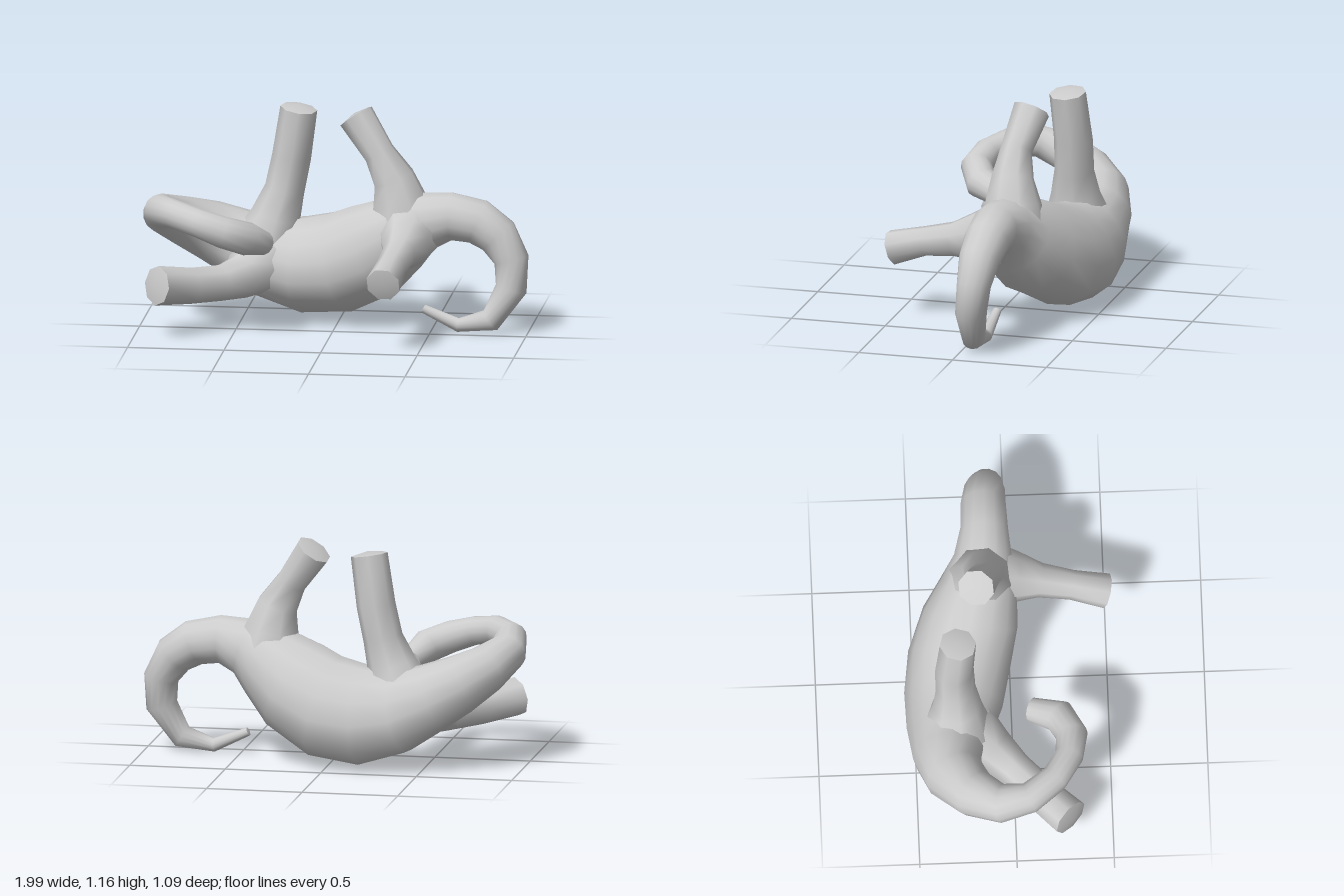
import * as THREE from 'three';

const material = new THREE.MeshStandardMaterial({ color: 0xcccccc });
// Direction of the spine ridge: down and towards the back.
const RIDGE = new THREE.Vector3(0, -0.66, -0.75);

// Skins a path of [x, y, z, radius, ridge] stations; rings follow the path, ends are capped.
// The ridge value sharpens the spine and flattens the belly opposite it.
function limb(name, stations, sides) {
  const centres = stations.map(s => new THREE.Vector3(s[0], s[1], s[2]));
  const last = stations.length - 1;
  const positions = [], index = [];
  const tangentAt = i => {
    const t = new THREE.Vector3();
    if (i > 0) t.add(centres[i].clone().sub(centres[i - 1]).normalize());
    if (i < last) t.add(centres[i + 1].clone().sub(centres[i]).normalize());
    return t.normalize();
  };
  let u = new THREE.Vector3(0.3, 0.66, 0.75);
  stations.forEach(([, , , radius, ridge = 0], i) => {
    const t = tangentAt(i);
    u = u.clone().addScaledVector(t, -u.dot(t)).normalize();
    const v = new THREE.Vector3().crossVectors(t, u);
    for (let k = 0; k < sides; k++) {
      const a = (k / sides) * Math.PI * 2;
      const d = u.clone().multiplyScalar(Math.cos(a)).addScaledVector(v, Math.sin(a));
      const toSpine = d.dot(RIDGE);
      const r = radius * (1.03 + ridge * (toSpine > 0 ? 1 : 0.5) * toSpine ** 3);
      positions.push(...centres[i].clone().addScaledVector(d, r).toArray());
    }
  });
  for (let i = 0; i < last; i++) {
    for (let k = 0; k < sides; k++) {
      const a = i * sides + k, b = i * sides + (k + 1) % sides;
      index.push(a, b, b + sides, a, b + sides, a + sides);
    }
  }
  // Caps have their own corners, so the rim stays sharp.
  for (const end of [0, last]) {
    const start = positions.length / 3;
    positions.push(...positions.slice(end * sides * 3, (end + 1) * sides * 3));
    const bulge = stations[end][3] * (end ? 0.2 : -0.2);
    positions.push(...centres[end].clone().addScaledVector(tangentAt(end), bulge).toArray());
    for (let k = 0; k < sides; k++) {
      const a = start + k, b = start + (k + 1) % sides;
      if (end) index.push(a, b, start + sides);
      else index.push(b, a, start + sides);
    }
  }
  const geometry = new THREE.BufferGeometry();
  geometry.setAttribute('position', new THREE.Float32BufferAttribute(positions, 3));
  geometry.setIndex(index);
  geometry.computeVertexNormals();
  const mesh = new THREE.Mesh(geometry, material);
  mesh.name = name;
  return mesh;
}

export function createModel() {
  const model = new THREE.Group();
  model.name = 'recliningCreature';

  // Tail, trunk of the body and curled neck form one continuous skin.
  model.add(limb('tailBodyAndNeck', [
    [0.46, 0.115, -0.085, 0.022],
    [0.64, 0.036, -0.075, 0.035],
    [0.81, 0.07, -0.06, 0.06],
    [0.915, 0.235, -0.075, 0.08],
    [0.915, 0.385, -0.09, 0.088],
    [0.845, 0.505, -0.1, 0.104],
    [0.74, 0.575, -0.11, 0.115],
    [0.6, 0.6, -0.11, 0.122],
    [0.46, 0.57, -0.12, 0.15],
    [0.34, 0.5, -0.145, 0.195],
    [0.19, 0.4, -0.19, 0.242, 0.1],
    [0, 0.32, -0.24, 0.25, 0.25],
    [-0.2, 0.3, -0.27, 0.235, 0.33],
    [-0.39, 0.325, -0.31, 0.2, 0.28],
    [-0.55, 0.39, -0.335, 0.17, 0.1],
    [-0.68, 0.45, -0.31, 0.15],
    [-0.81, 0.52, -0.21, 0.122],
    [-0.895, 0.585, -0.07, 0.098],
    [-0.885, 0.63, 0.07, 0.08],
    [-0.79, 0.64, 0.2, 0.072],
    [-0.66, 0.615, 0.28, 0.072],
    [-0.53, 0.575, 0.3, 0.08],
    [-0.41, 0.53, 0.24, 0.084],
    [-0.35, 0.48, 0.1, 0.062],
  ], 14));

  // Legs run from inside the body out to blunt feet.
  model.add(limb('upperRightLeg', [
    [-0.38, 0.38, -0.29, 0.18],
    [-0.33, 0.54, -0.285, 0.125],
    [-0.285, 0.68, -0.29, 0.1],
    [-0.25, 0.85, -0.295, 0.098],
    [-0.21, 1.11, -0.275, 0.093],
  ], 8));
  model.add(limb('upperLeftLeg', [
    [0.35, 0.52, -0.14, 0.18],
    [0.33, 0.66, -0.135, 0.145],
    [0.3, 0.79, -0.125, 0.108],
    [0.225, 0.92, -0.125, 0.08],
    [0.1, 1.1, -0.17, 0.094],
  ], 8));
  model.add(limb('frontLeftLeg', [
    [0.38, 0.51, -0.08, 0.17],
    [0.38, 0.48, 0.04, 0.13],
    [0.365, 0.455, 0.17, 0.087],
    [0.345, 0.425, 0.33, 0.075],
    [0.325, 0.37, 0.51, 0.088],
  ], 8));
  model.add(limb('frontRightLeg', [
    [-0.4, 0.31, -0.22, 0.17],
    [-0.48, 0.255, -0.1, 0.115],
    [-0.58, 0.24, 0.0, 0.092],
    [-0.72, 0.25, 0.13, 0.092],
    [-0.875, 0.28, 0.28, 0.1],
  ], 8));
  return model;
}
